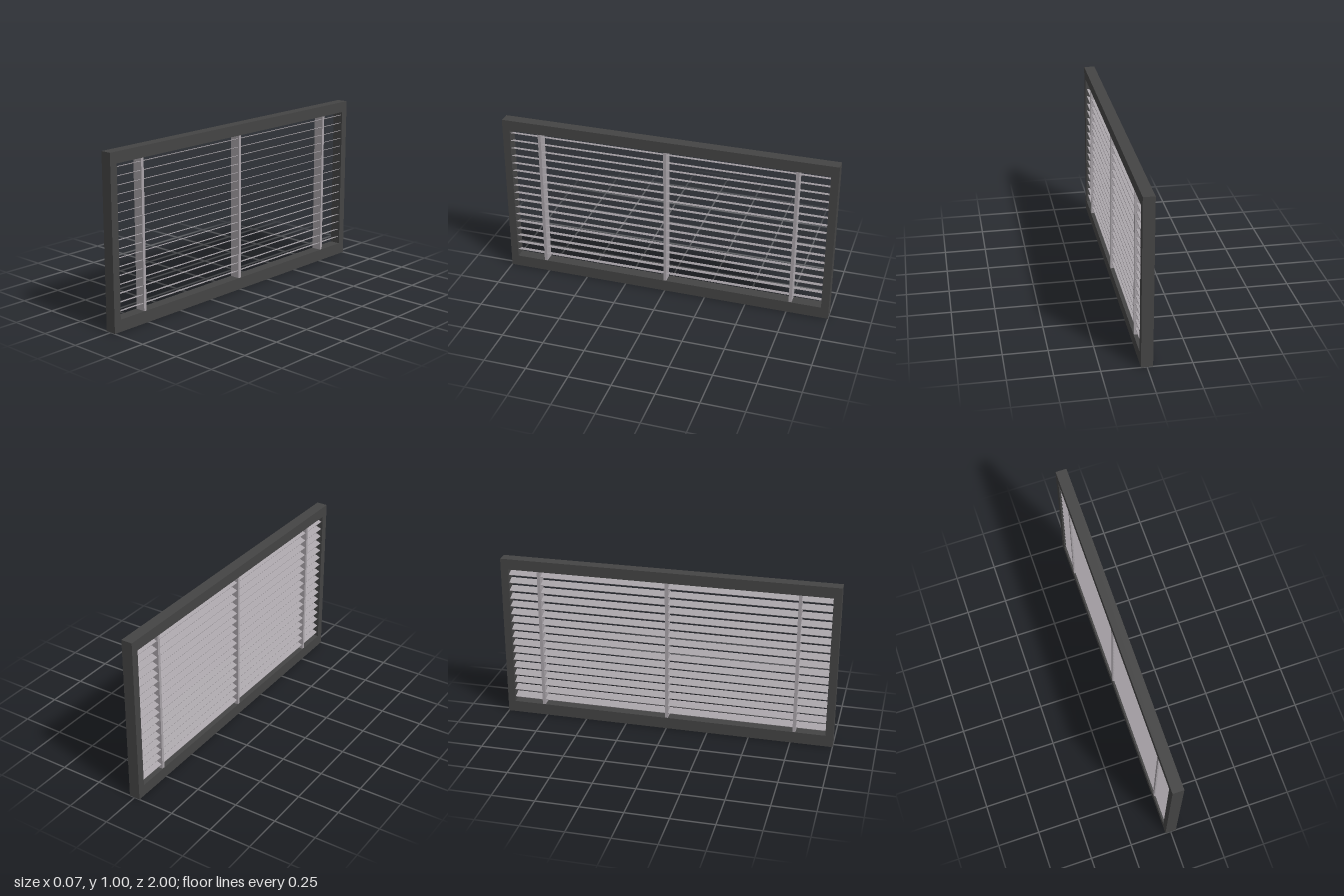
import * as THREE from 'three';

const DEPTH = 0.066;                    // frame thickness along x
const OPEN = { z: 0.955, y0: 0.07, y1: 0.936 };

export function createModel() {
  const model = new THREE.Group();
  model.name = 'louvreWindow';
  const dark = new THREE.MeshStandardMaterial({ color: 0x444444 });
  const light = new THREE.MeshStandardMaterial({ color: 0xa8a3a8 });

  const add = (name, geometry, material, x = 0, y = 0, z = 0, parent = model) => {
    const mesh = new THREE.Mesh(geometry, material);
    mesh.name = name;
    mesh.position.set(x, y, z);
    parent.add(mesh);
    return mesh;
  };

  // Outer frame: rectangle with the opening cut out, turned to face x
  const rect = (path, w, y0, y1) =>
    path.moveTo(-w, y0).lineTo(w, y0).lineTo(w, y1).lineTo(-w, y1).closePath();
  const outline = rect(new THREE.Shape(), 1, 0, 1);
  outline.holes.push(rect(new THREE.Path(), OPEN.z, OPEN.y0, OPEN.y1));
  const frame = new THREE.ExtrudeGeometry(outline, { depth: DEPTH, bevelEnabled: false });
  frame.translate(0, 0, -DEPTH / 2).rotateY(Math.PI / 2);
  add('frame', frame, dark);

  // Tilted slats, high on the +x side
  const slats = new THREE.Group();
  slats.name = 'slats';
  model.add(slats);
  const slatGeometry = new THREE.BoxGeometry(0.051, 0.003, OPEN.z * 2);
  const count = 17;
  for (let i = 0; i < count; i++) {
    const y = THREE.MathUtils.lerp(0.106, 0.908, i / (count - 1));
    add('slat', slatGeometry, light, 0, y, 0, slats).rotation.z = 0.36;
  }

  // Upright ribs carrying the slats
  const ribHeight = OPEN.y1 - OPEN.y0;
  const ribGeometry = new THREE.BoxGeometry(0.061, ribHeight, 0.018);
  for (const z of [-0.77, 0, 0.77]) {
    add('rib', ribGeometry, light, 0, OPEN.y0 + ribHeight / 2, z);
  }

  return model;
}
